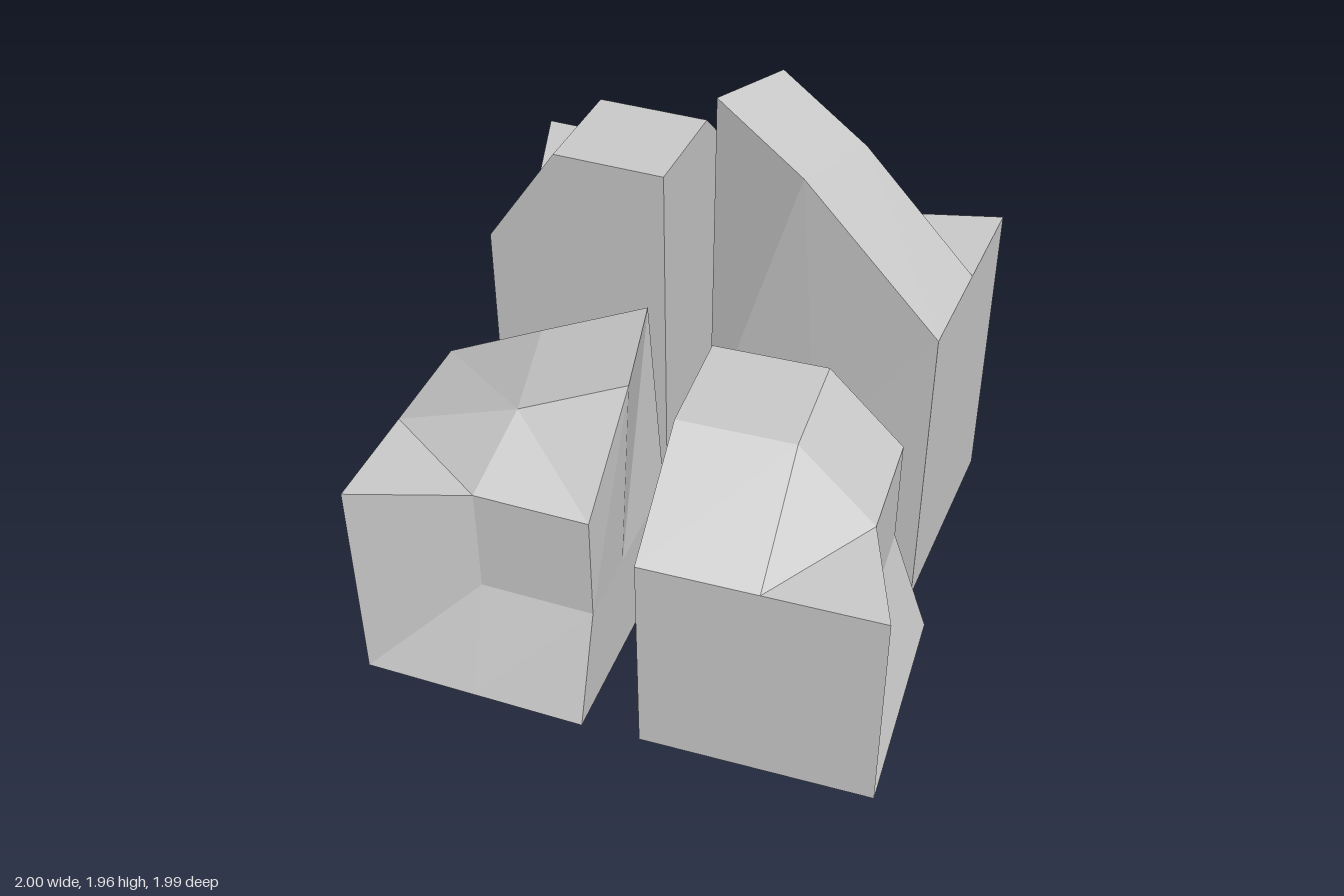
import * as THREE from 'three';

const material = new THREE.MeshStandardMaterial({ color: 0xcccccc, flatShading: true });

const SIZE = 0.85; // width and depth of every block
const CUT = 0.145; // depth of the notch in one side
const flat = (rise) => Array(4).fill([0, rise, 0]);

// Every block is the same chiselled cube, given a quarter turn and a slight tilt in yaw.
// peak: shift [x, rise, z] of the four raised top points: centre, right, front, front-right corner.
const blocks = [
  { name: 'backFlatTopBlock', at: [-0.565, 0, -0.56], turn: 0, yaw: -0.027, shoulder: 1.23, peak: flat(0.41) },
  { name: 'frontFlatTopBlock', at: [0.56, 0.02, 0.54], turn: 2, yaw: 0.035, shoulder: 0.85, peak: flat(0.285) },
  {
    name: 'frontLowRidgeBlock', at: [-0.49, 0.02, 0.565], turn: 1, yaw: 0, shoulder: 0.85,
    peak: [[-0.035, 0.21, 0.07], [-0.045, 0.23, -0.02], [0.045, 0.355, 0.025], [0.035, 0.37, -0.065]],
  },
  {
    name: 'backTallPeakBlock', at: [0.48, 0, -0.51], turn: 3, yaw: -0.059, shoulder: 1.23,
    peak: [[0.065, 0.485, -0.015], [0.045, 0.56, 0.075], [-0.045, 0.655, -0.08], [-0.065, 0.73, 0.01]],
  },
];

function makeBlock({ name, at, turn, yaw, shoulder, peak }) {
  const geometry = new THREE.BoxGeometry(SIZE, shoulder, SIZE, 2, 2, 2);
  geometry.translate(0, shoulder / 2, 0);
  const pos = geometry.attributes.position;

  for (let n = 0; n < pos.count; n++) {
    const p = new THREE.Vector3().fromBufferAttribute(pos, n);
    // Grid place of this point, each 0 to 2
    const i = Math.round((p.x / SIZE) * 2 + 1);
    const j = Math.round((p.y / shoulder) * 2);
    const k = Math.round((p.z / SIZE) * 2 + 1);

    // Notch: left side pushed in above the ground, except at the back corner
    if (i === 0 && j > 0 && k > 0) p.x += CUT;
    // Peak: raise the four top points away from the notch and the back
    if (i > 0 && j === 2 && k > 0) p.add(new THREE.Vector3(...peak[i - 1 + 2 * (k - 1)]));
    pos.setXYZ(n, p.x, p.y, p.z);
  }

  geometry.computeVertexNormals();
  const mesh = new THREE.Mesh(geometry, material);
  mesh.name = name;
  mesh.position.set(...at);
  mesh.rotation.y = (turn * Math.PI) / 2 + yaw;
  return mesh;
}

export function createModel() {
  const group = new THREE.Group();
  group.name = 'stoneBlocks';
  blocks.forEach((block) => group.add(makeBlock(block)));
  return group;
}
